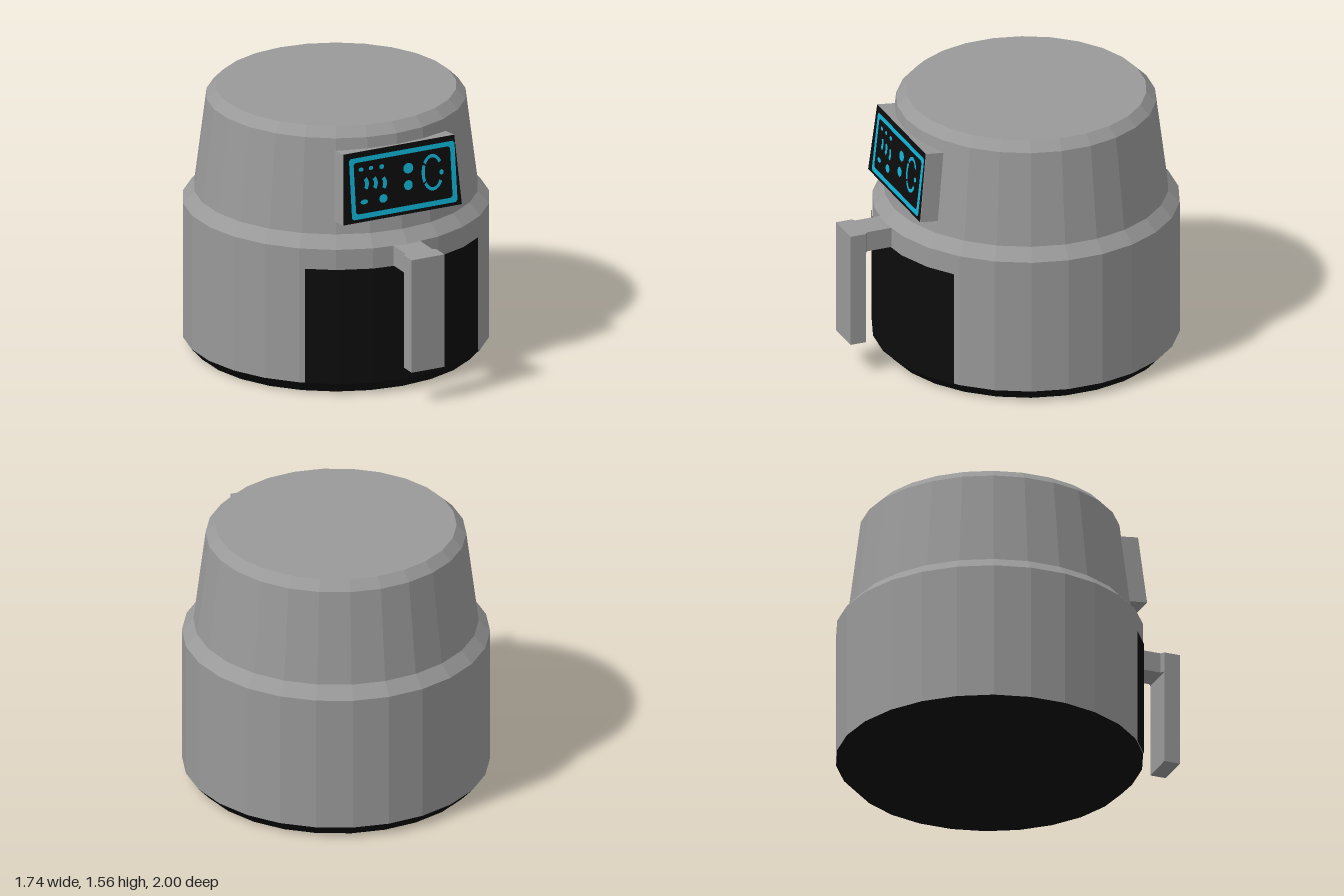
import * as THREE from 'three';

const SIDES = 26, RADIUS = 0.875, CENTRE_Z = -0.125;

function material(name, color) {
  const m = new THREE.MeshStandardMaterial({ color, flatShading: true });
  m.name = name;
  return m;
}

export function createModel() {
  const group = new THREE.Group();
  const grey = material('grey casing', 0x999999);
  const black = material('black', 0x0c0c0c);
  const cyan = material('cyan display', 0x10b4d8);

  function add(name, geometry, mat, parent = group) {
    const mesh = new THREE.Mesh(geometry, mat);
    mesh.name = name;
    parent.add(mesh);
    return mesh;
  }
  const turned = (pts) =>
    new THREE.LatheGeometry(pts.map(([r, y]) => new THREE.Vector2(r, y)), SIDES).translate(0, 0, CENTRE_Z);
  const polygon = (pts) => new THREE.Shape(pts.map(([x, y]) => new THREE.Vector2(x, y)));

  // Base and stepped casing
  add('base', turned([[0, 0], [0.81, 0], [RADIUS, 0.07]]), black);
  add('casing', turned([[RADIUS, 0.07], [RADIUS, 0.88], [0.81, 0.95], [0.74, 1.505], [0.685, 1.56], [0, 1.56]]), grey);

  // Black basket front: a thin skin following the facets of the casing
  const step = (Math.PI * 2) / SIDES;
  const facetPoint = (k) => [RADIUS * Math.sin(k * step), RADIUS * Math.cos(k * step)];
  const [x2, z2] = facetPoint(2), [x3, z3] = facetPoint(3);
  const edge = [0.555, z2 + ((z3 - z2) * (0.555 - x2)) / (x3 - x2)];
  const columns = [[-edge[0], edge[1]], ...[-2, -1, 0, 1, 2].map(facetPoint), edge];
  const skin = new THREE.PlaneGeometry(1, 0.69, columns.length - 1, 1);
  const pos = skin.attributes.position;
  for (let i = 0; i < pos.count; i++) {
    const [x, z] = columns[i % columns.length];
    pos.setXYZ(i, x, pos.getY(i) + 0.415, z + CENTRE_Z + 0.005);
  }
  add('basketFront', skin, black);

  // Handle: neck flaring into an upright grip
  const neck = polygon([[-0.085, -0.7], [-0.085, -0.89], [-0.105, -0.905], [-0.105, -1],
    [0.105, -1], [0.105, -0.905], [0.085, -0.89], [0.085, -0.7]]);
  add('handleNeck', new THREE.ExtrudeGeometry(neck, { depth: 0.12, bevelEnabled: false })
    .rotateX(-Math.PI / 2).translate(0, 0.76, 0), grey);
  add('handleGrip', new THREE.BoxGeometry(0.21, 0.56, 0.095).translate(0, 0.48, 0.9525), grey);

  // Tilted control panel, origin at its lower front edge
  const panel = new THREE.Group();
  panel.name = 'controlPanel';
  panel.position.set(0, 1.035, 0.685);
  panel.rotation.x = -0.11;
  group.add(panel);
  const face = polygon([[-0.38, 0], [0.38, 0], [0.355, 0.412], [-0.355, 0.412]]);
  add('panelHousing', new THREE.ExtrudeGeometry(face, { depth: 0.11, bevelEnabled: false })
    .translate(0, 0, -0.11), grey, panel);
  add('panelScreen', new THREE.ShapeGeometry(face).translate(0, 0, 0.003), black, panel);

  const mark = (name, shape) => add(name, new THREE.ShapeGeometry(shape, 10).translate(0, 0, 0.007), cyan, panel);

  // Display border with cut corners
  const frame = (l, r, b, t, c) => [[l + c, b], [r - c, b], [r, b + c], [r, t - c], [r - c, t], [l + c, t], [l, t - c], [l, b + c]];
  const border = polygon(frame(-0.324, 0.352, 0.02, 0.38, 0.012));
  border.holes.push(polygon(frame(-0.296, 0.322, 0.05, 0.352, 0.012)));
  mark('displayBorder', border);

  // Round and oval indicators: x, y, half width, half height
  const dots = [
    [-0.25, 0.308, 0.016, 0.012], [-0.187, 0.308, 0.014, 0.012], [-0.118, 0.304, 0.016, 0.014],
    [-0.24, 0.117, 0.024, 0.014], [-0.118, 0.117, 0.026, 0.025],
    [0.05, 0.267, 0.032, 0.031], [0.045, 0.168, 0.028, 0.029], [0.26, 0.21, 0.014, 0.016],
  ];
  for (const [x, y, rx, ry] of dots) {
    mark('indicator', new THREE.Shape().absellipse(x, y, rx, ry, 0, Math.PI * 2));
  }

  // Curved strokes
  const arc = (cx, cy, rx, ry, w, from, to) => {
    const s = new THREE.Shape();
    s.absellipse(cx, cy, rx, ry, from, to, false);
    s.absellipse(cx, cy, rx - w, ry - w, to, from, true);
    return s;
  };
  [[-0.22, 0.222], [-0.163, 0.217], [-0.105, 0.208]].forEach(([x, y]) =>
    mark('heatStroke', arc(x - 0.055, y, 0.07, 0.065, 0.024, -0.6, 0.6)));
  for (const [from, to] of [[0.6, 2.5], [2.62, 3.66], [3.78, 5.7]]) {
    mark('dialArc', arc(0.203, 0.218, 0.07, 0.107, 0.02, from, to));
  }
  return group;
}
